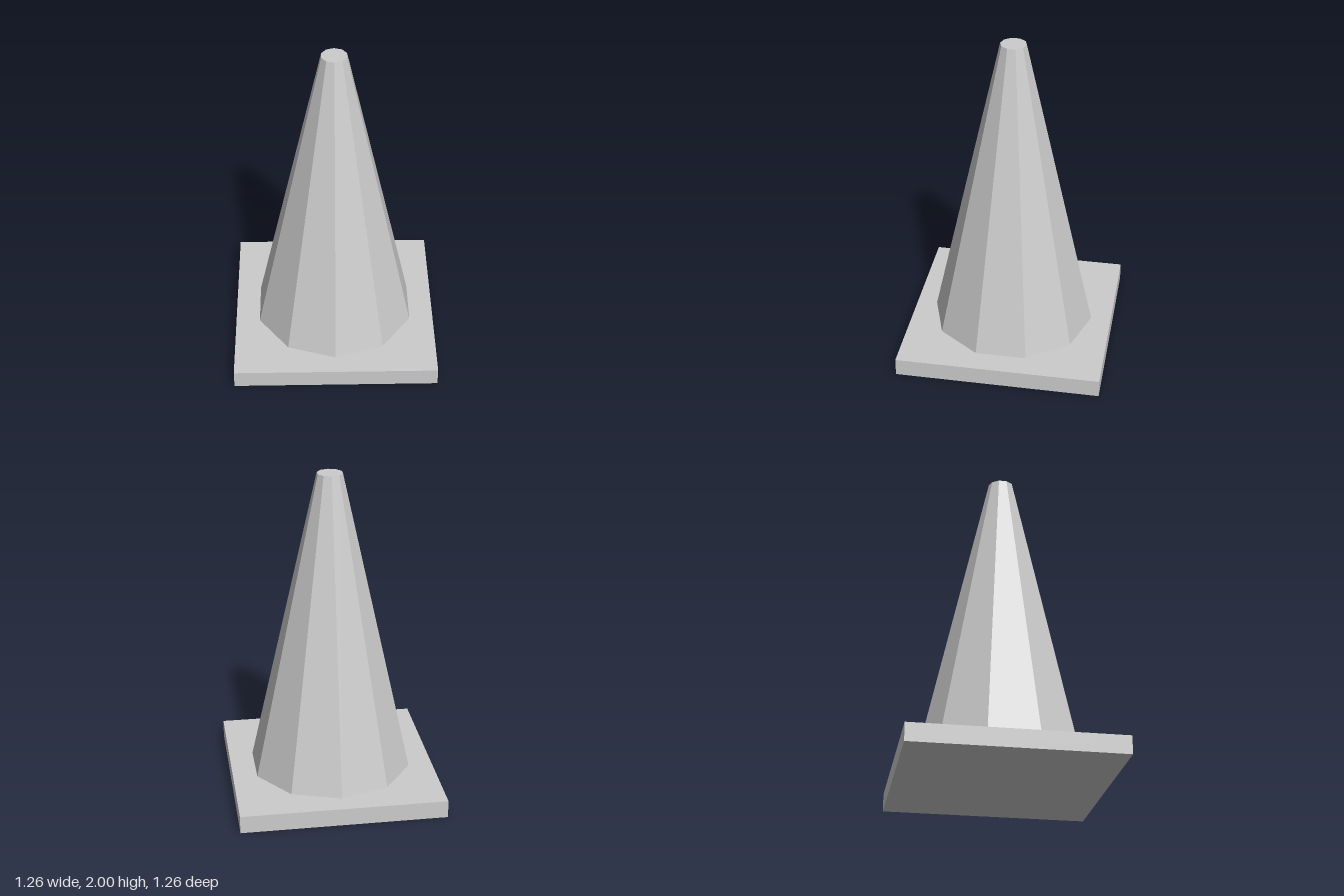
import * as THREE from 'three';

export function createModel() {
  const model = new THREE.Group();
  const lightGrey = new THREE.MeshStandardMaterial({ color: 0xcccccc, flatShading: true });
  lightGrey.name = 'lightGrey';

  const baseHeight = 0.11;
  const totalHeight = 2;

  function addPart(name, geometry, y) {
    const mesh = new THREE.Mesh(geometry, lightGrey);
    mesh.name = name;
    mesh.position.y = y;
    model.add(mesh);
  }

  // Square foot plate
  addPart('basePlate', new THREE.BoxGeometry(1.256, baseHeight, 1.256), baseHeight / 2);

  // Ten-sided tapering body with a flat top, corners pointing to front and back
  addPart(
    'coneBody',
    new THREE.CylinderGeometry(0.078, 0.503, totalHeight - baseHeight, 10),
    (totalHeight + baseHeight) / 2
  );

  return model;
}
